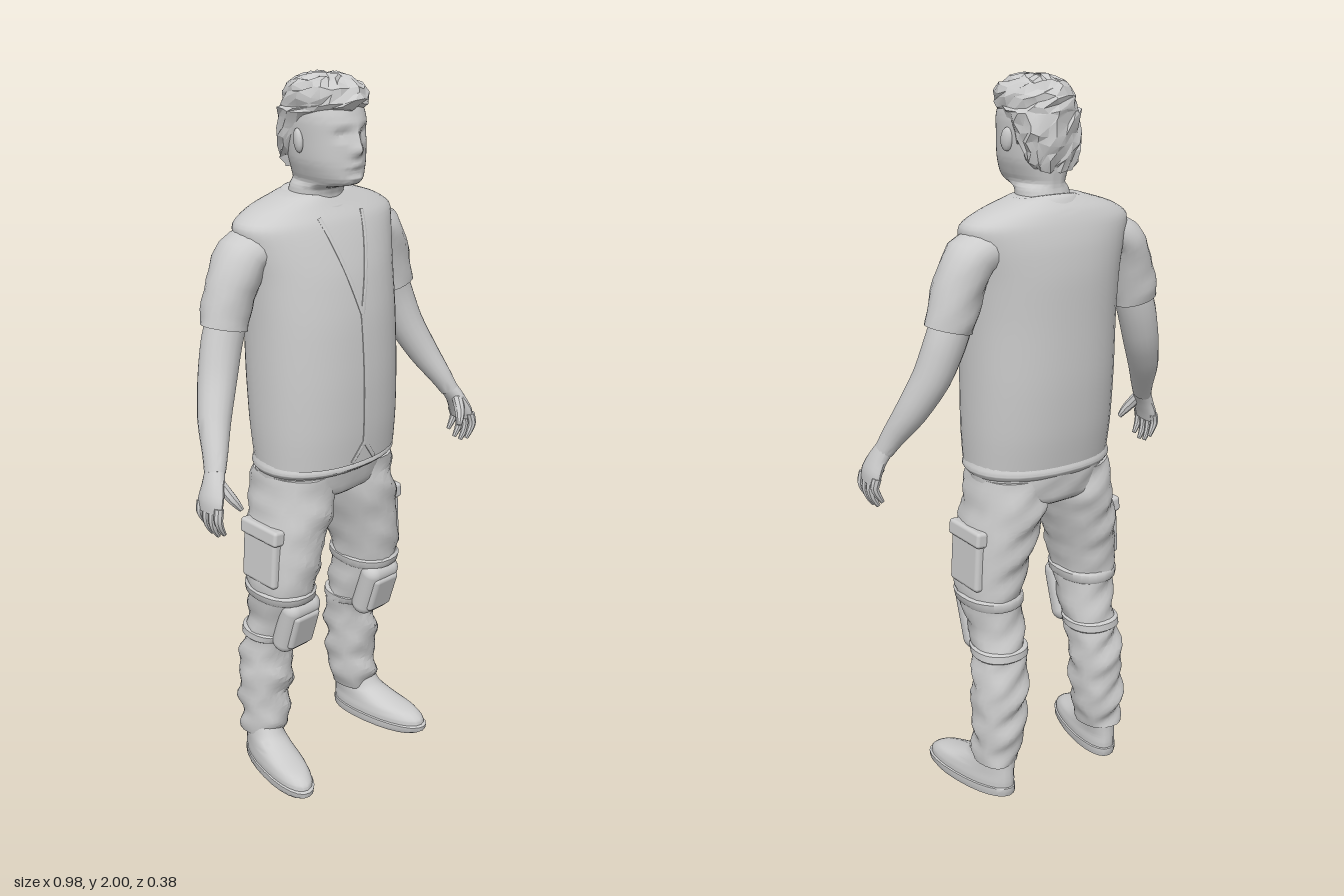
import * as THREE from 'three';
import { toCreasedNormals } from 'three/addons/utils/BufferGeometryUtils.js';
import { RoundedBoxGeometry } from 'three/addons/geometries/RoundedBoxGeometry.js';

const V = (x, y, z) => new THREE.Vector3(x, y, z);
const spow = (v, p) => Math.sign(v) * Math.pow(Math.abs(v), p);

// Smooth sample of a list of number rows, t from 0 to 1
function sample(rows, t) {
  const f = t * (rows.length - 1), i = Math.min(Math.floor(f), rows.length - 2), u = f - i;
  const get = k => rows[Math.max(0, Math.min(rows.length - 1, k))];
  return rows[i].map((b, k) => {
    const a = get(i - 1)[k], c = rows[i + 1][k], d = get(i + 2)[k];
    const m0 = (c - a) * 0.4, m1 = (d - b) * 0.4, u2 = u * u, u3 = u2 * u;
    return (2 * u3 - 3 * u2 + 1) * b + (u3 - 2 * u2 + u) * m0 + (3 * u2 - 2 * u3) * c + (u3 - u2) * m1;
  });
}

// Closed skin over rings of points, with end caps
function skin(rings, warp, crease = 0.7) {
  const n = rings[0].length, pos = [], idx = [];
  const avg = r => r.reduce((s, p) => s.add(p), V(0, 0, 0)).divideScalar(n);
  const ends = [avg(rings[0]), avg(rings[rings.length - 1])];
  [...rings.flat(), ...ends].forEach(p => { if (warp) warp(p); pos.push(p.x, p.y, p.z); });
  const a0 = rings.length * n, last = a0 - n;
  for (let j = 0; j < n; j++) {
    const k = (j + 1) % n;
    for (let i = 0; i < rings.length - 1; i++) {
      const a = i * n + j, b = i * n + k;
      idx.push(a, a + n, b, b, a + n, b + n);
    }
    idx.push(a0, j, k, a0 + 1, last + k, last + j);
  }
  const g = new THREE.BufferGeometry();
  g.setAttribute('position', new THREE.Float32BufferAttribute(pos, 3));
  g.setIndex(idx);
  g.computeVertexNormals();
  return toCreasedNormals(g, crease);
}

// Upright body from rows [y, centreX, halfWidth, frontZ, backZ]
function upright(rows, { n = 28, steps = 4, p = 2.2, warp, crease } = {}) {
  const rings = [], count = (rows.length - 1) * steps;
  for (let i = 0; i <= count; i++) {
    const [y, cx, rx, zf, zb] = sample(rows, i / count);
    rings.push(Array.from({ length: n }, (_, j) => {
      const a = j / n * Math.PI * 2;
      return V(cx + rx * spow(Math.cos(a), 2 / p), y, (zf + zb) / 2 + (zf - zb) / 2 * spow(Math.sin(a), 2 / p));
    }));
  }
  return skin(rings, warp, crease);
}

// Limb along a path of rows [x, y, z, depthRadius, thickness]
function limb(rows, s, { n = 14, steps = 3, warp } = {}) {
  const count = (rows.length - 1) * steps, rings = [];
  const at = t => { const r = sample(rows, t); return V(r[0] * s, r[1], r[2]); };
  for (let i = 0; i <= count; i++) {
    const t = i / count, r = sample(rows, t), c = at(t);
    const T = at(Math.min(1, t + 0.02)).sub(at(Math.max(0, t - 0.02))).normalize();
    const U = V(0, 0, 1).addScaledVector(T, -T.z).normalize(), W = U.clone().cross(T);
    rings.push(Array.from({ length: n }, (_, j) => {
      const a = j / n * Math.PI * 2;
      return c.clone().addScaledVector(U, r[3] * Math.cos(a)).addScaledVector(W, r[4] * Math.sin(a));
    }));
  }
  return skin(rings, warp);
}

export function createModel() {
  const root = new THREE.Group();
  const grey = new THREE.MeshStandardMaterial({ color: 0xcccccc });
  grey.name = 'plain grey';
  const add = (name, geo) => {
    const m = new THREE.Mesh(geo, grey);
    m.name = name;
    root.add(m);
    return m;
  };
  let seed = 7;
  const rnd = () => (seed = (seed * 16807) % 2147483647) / 2147483647 - 0.5;

  // Vest
  const vest = [[0.985, 0, 0.212, 0.15, -0.16], [1.08, 0, 0.217, 0.157, -0.175], [1.22, 0, 0.219, 0.157, -0.186],
    [1.38, 0, 0.22, 0.145, -0.188], [1.5, 0, 0.227, 0.122, -0.188], [1.58, 0, 0.243, 0.095, -0.18],
    [1.635, 0, 0.25, 0.07, -0.166], [1.67, 0, 0.195, 0.045, -0.15], [1.7, 0, 0.1, 0.025, -0.125]];
  add('vest', upright(vest, { n: 40, p: 2.25 }));
  const vestZ = (x, y) => {
    let t = 0;
    while (t < 1 && sample(vest, t)[0] < y) t += 0.004;
    const [, , rx, zf, zb] = sample(vest, t);
    return (zf + zb) / 2 + (zf - zb) / 2 * Math.pow(1 - Math.pow(Math.abs(x) / rx, 2.25), 1 / 2.25);
  };
  // Trim following the vest front
  const trim = (name, x0, y0, x1, y1) => {
    const rows = [];
    for (let i = 0; i <= 6; i++) {
      const x = x0 + (x1 - x0) * i / 6, y = y0 + (y1 - y0) * i / 6;
      rows.push([x, y, vestZ(x, y), 0.004, 0.007]);
    }
    add(name, limb(rows, 1, { n: 6, steps: 2 }));
  };
  trim('frontZip', 0, 1.4, 0, 1.04);
  for (const s of [-1, 1]) {
    trim('necklineEdge', s * 0.075, 1.65, 0, 1.4);
    trim('hemNotch', 0, 1.045, s * 0.04, 0.99);
  }
  add('shirtHem', upright([[0.955, 0, 0.208, 0.13, -0.155], [0.97, 0, 0.218, 0.147, -0.165],
    [0.99, 0, 0.212, 0.14, -0.158]], { n: 36 }));
  add('shirtCollar', upright([[1.62, 0, 0.125, 0.055, -0.15], [1.66, 0, 0.105, 0.052, -0.14],
    [1.69, 0, 0.088, 0.047, -0.125], [1.695, 0, 0.066, 0.03, -0.1]],
  { warp: p => { p.y -= (p.z + 0.05) * 0.22; } }));

  // Head, with the face shaped by soft bumps
  const bumps = [[0, 1.822, 0.017, 0.016, 0.02], [0, 1.85, 0.011, 0.022, 0.013], [0.036, 1.862, 0.018, 0.011, -0.012],
    [-0.036, 1.862, 0.018, 0.011, -0.012], [0, 1.885, 0.06, 0.01, 0.004], [0, 1.785, 0.026, 0.007, 0.006],
    [0, 1.765, 0.03, 0.007, -0.005], [0, 1.747, 0.025, 0.01, 0.005]];
  add('head', upright([[1.6, 0, 0.085, 0.02, -0.14], [1.67, 0, 0.073, 0.03, -0.115], [1.715, 0, 0.068, 0.04, -0.103],
    [1.732, 0, 0.062, 0.102, -0.102], [1.752, 0, 0.07, 0.116, -0.104], [1.79, 0, 0.082, 0.116, -0.108],
    [1.84, 0, 0.086, 0.114, -0.112], [1.9, 0, 0.087, 0.11, -0.112], [1.95, 0, 0.07, 0.09, -0.09],
    [1.975, 0, 0.035, 0.05, -0.05]], { n: 56, steps: 6, crease: 0.9, warp: p => {
    if (p.z > 0.04 && p.y > 1.73) for (const [x, y, w, h, d] of bumps)
      p.z += d * Math.exp(-(((p.x - x) / w) ** 2) - ((p.y - y) / h) ** 2);
  } }));
  add('hair', upright([[1.765, 0, 0.058, -0.06, -0.108], [1.81, 0, 0.08, -0.03, -0.12], [1.86, 0, 0.09, 0, -0.124],
    [1.905, 0, 0.094, 0.06, -0.125], [1.925, 0, 0.094, 0.114, -0.124], [1.955, 0, 0.089, 0.115, -0.118],
    [1.982, 0, 0.068, 0.09, -0.092], [1.996, 0, 0.032, 0.045, -0.045]], { n: 22, steps: 2, crease: 0.3, warp: p => {
    p.x += rnd() * 0.013; p.y = Math.min(2, p.y + rnd() * 0.016); p.z += rnd() * 0.013;
  } }));

  // Trousers, with cloth folds
  const folds = amp => p => {
    const f = amp * (Math.sin(p.y * 75 + p.x * 45) + Math.sin(p.y * 47 - p.z * 60));
    p.x += f * 0.6; p.z += f;
  };
  add('trouserSeat', upright([[0.855, 0, 0.1, 0.05, -0.1], [0.885, 0, 0.185, 0.105, -0.145],
    [0.94, 0, 0.206, 0.122, -0.155], [1.02, 0, 0.207, 0.13, -0.152]], { n: 36, warp: folds(0.002) }));

  for (const s of [-1, 1]) {
    const side = s > 0 ? 'left' : 'right';
    const leg = [[0.1, 0.188, 0.058, -0.012, -0.138], [0.15, 0.18, 0.068, 0, -0.143], [0.23, 0.176, 0.074, 0, -0.148],
      [0.32, 0.172, 0.077, 0.004, -0.146], [0.41, 0.164, 0.074, 0.008, -0.138], [0.5, 0.158, 0.074, 0.05, -0.118],
      [0.6, 0.165, 0.082, 0.096, -0.115], [0.7, 0.152, 0.09, 0.107, -0.128], [0.8, 0.13, 0.1, 0.115, -0.142],
      [0.87, 0.112, 0.105, 0.115, -0.148], [0.95, 0.105, 0.1, 0.11, -0.14]]
      .map(([y, x, ...r]) => [y, x * s, ...r]);
    add(side + 'TrouserLeg', upright(leg, { n: 24, steps: 5, crease: 0.5, warp: p => folds(p.y < 0.45 ? 0.0045 : 0.003)(p) }));

    // Knee pad and straps
    const pad = add(side + 'KneePad', new RoundedBoxGeometry(0.125, 0.185, 0.07, 4, 0.033));
    pad.position.set(s * 0.157, 0.5, 0.047);
    pad.rotation.set(0.3, 0, 0);
    const cap = add(side + 'KneeCap', new RoundedBoxGeometry(0.092, 0.125, 0.03, 3, 0.014));
    cap.position.set(s * 0.157, 0.49, 0.073);
    cap.rotation.set(0.3, 0, 0);
    add(side + 'KneeStrapUpper', upright([[0.575, s * 0.164, 0.08, 0.09, -0.117], [0.582, s * 0.164, 0.086, 0.098, -0.121],
      [0.602, s * 0.165, 0.088, 0.102, -0.121], [0.61, s * 0.165, 0.081, 0.095, -0.115]], { n: 24, steps: 1 }));
    add(side + 'KneeStrapLower', upright([[0.425, s * 0.163, 0.074, 0.01, -0.135], [0.43, s * 0.163, 0.079, 0.02, -0.141],
      [0.45, s * 0.162, 0.079, 0.03, -0.139], [0.455, s * 0.162, 0.073, 0.025, -0.13]], { n: 24, steps: 1 }));

    // Cargo pocket with flap
    const pocket = add(side + 'CargoPocket', new RoundedBoxGeometry(0.035, 0.15, 0.135, 2, 0.012));
    pocket.position.set(s * 0.229, 0.71, -0.01);
    pocket.rotation.z = s * 0.06;
    const flap = add(side + 'PocketFlap', new RoundedBoxGeometry(0.04, 0.045, 0.15, 2, 0.01));
    flap.position.set(s * 0.227, 0.79, -0.01);
    flap.rotation.z = s * 0.1;

    // Boot and sole, toes turned outward
    const turn = p => { p.x += s * (p.z + 0.07) * 0.17; };
    add(side + 'Boot', upright([[0.012, s * 0.193, 0.056, 0.178, -0.135], [0.04, s * 0.193, 0.058, 0.18, -0.137],
      [0.062, s * 0.193, 0.055, 0.15, -0.136], [0.08, s * 0.192, 0.052, 0.08, -0.134],
      [0.105, s * 0.19, 0.05, 0.015, -0.132], [0.15, s * 0.185, 0.05, -0.015, -0.13]], { n: 24, warp: turn }));
    add(side + 'Sole', upright([[0, s * 0.193, 0.057, 0.172, -0.135], [0.01, s * 0.193, 0.061, 0.187, -0.139],
      [0.026, s * 0.193, 0.061, 0.19, -0.139], [0.03, s * 0.193, 0.056, 0.18, -0.135]], { n: 24, steps: 1, warp: turn }));

    // Arm
    add(side + 'Sleeve', limb([[0.18, 1.585, -0.055, 0.075, 0.05], [0.24, 1.56, -0.056, 0.078, 0.062],
      [0.274, 1.49, -0.057, 0.07, 0.066], [0.296, 1.42, -0.056, 0.064, 0.066], [0.305, 1.385, -0.055, 0.06, 0.066]],
    s, { n: 20, warp: folds(0.0015) }));
    add(side + 'Arm', limb([[0.285, 1.43, -0.055, 0.054, 0.054], [0.315, 1.35, -0.052, 0.054, 0.055],
      [0.347, 1.26, -0.035, 0.053, 0.05], [0.388, 1.17, 0, 0.046, 0.042], [0.42, 1.1, 0.04, 0.036, 0.031],
      [0.44, 1.055, 0.062, 0.031, 0.024]], s, { n: 18 }));
    add(side + 'Palm', limb([[0.436, 1.065, 0.058, 0.029, 0.023], [0.455, 1.03, 0.072, 0.037, 0.021],
      [0.47, 0.995, 0.08, 0.045, 0.019], [0.476, 0.965, 0.083, 0.043, 0.014]], s));
    for (let i = 0; i < 4; i++) {
      const z = 0.118 - i * 0.024, drop = [0.012, 0, 0.002, 0.02][i];
      add(side + 'Finger' + (i + 1), limb([[0.474, 0.985, z, 0.0125, 0.013], [0.48, 0.95 + drop / 2, z + 0.003, 0.012, 0.012],
        [0.474, 0.922 + drop, z + 0.002, 0.01, 0.01], [0.46, 0.897 + drop, z, 0.006, 0.006]], s, { n: 8 }));
    }
    add(side + 'Thumb', limb([[0.448, 1.04, 0.085, 0.016, 0.016], [0.436, 1.01, 0.108, 0.016, 0.015],
      [0.424, 0.988, 0.122, 0.013, 0.012], [0.412, 0.968, 0.131, 0.007, 0.007]], s, { n: 8 }));

    // Ear
    const ear = add(side + 'Ear', new THREE.SphereGeometry(1, 12, 8));
    ear.scale.set(0.011, 0.031, 0.019);
    ear.position.set(s * 0.089, 1.84, -0.005);
    ear.rotation.set(-0.15, s * 0.3, 0);
  }
  return root;
}
